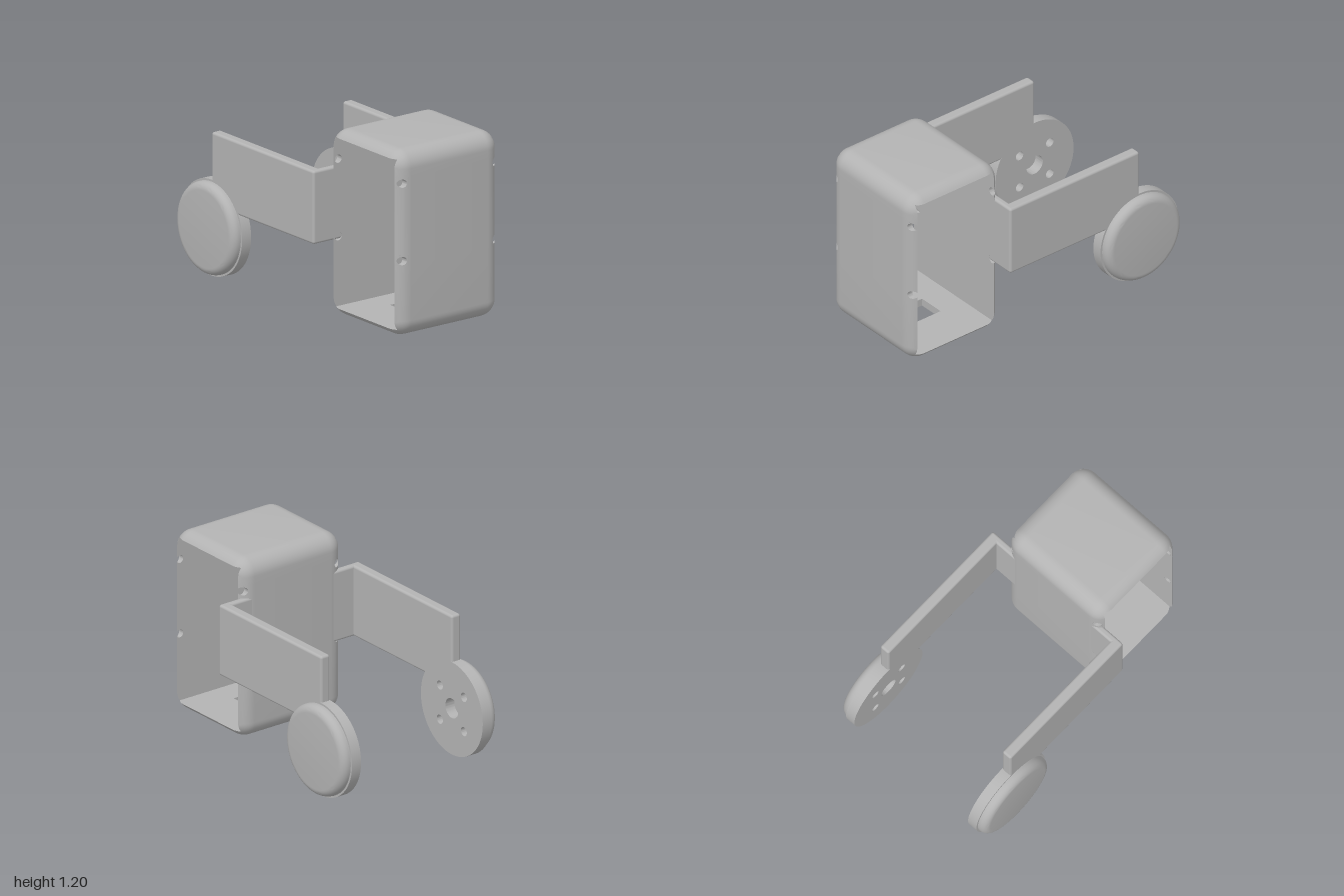
import * as THREE from 'three';
import { toCreasedNormals } from 'three/addons/utils/BufferGeometryUtils.js';
import { RoundedBoxGeometry } from 'three/addons/geometries/RoundedBoxGeometry.js';

// Housing dimensions: half sizes, fillet radius, wall thickness, rim position
const CX = 0.645, CY = 0.6, HX = 0.355, HY = 0.6;
const R = 0.11, W = 0.05, RIM = 0.39;
const ZC = RIM - Math.sqrt(R * R - (R - W) * (R - W)); // where the fillet starts
const clamp = THREE.MathUtils.clamp;

// Depth of the filleted outer skin below the flat wall plane
const skinDepth = (z) => {
  const e = Math.max(0, Math.abs(z) - ZC);
  return R - Math.sqrt(R * R - e * e);
};

// Open-ended hollow rounded box with drilled side walls and a floor slot
function housingGeometry() {
  const pos = [];
  const centre = new THREE.Vector3(CX, CY, 0);
  const V = (p) => new THREE.Vector3(...p);

  // Triangle facing away from ref (sign 1) or towards it (sign -1)
  const tri = (a, b, c, ref, sign) => {
    const n = b.clone().sub(a).cross(c.clone().sub(a));
    if (n.length() < 1e-9) return;
    const flip = n.dot(a.clone().add(b).add(c).divideScalar(3).sub(ref)) * sign < 0;
    for (const p of flip ? [a, c, b] : [a, b, c]) pos.push(p.x, p.y, p.z);
  };
  const sheet = (rows, ref, sign) => {
    for (let i = 0; i + 1 < rows.length; i++) {
      for (let j = 0; j + 1 < rows[i].length; j++) {
        const a = V(rows[i][j]), b = V(rows[i][j + 1]);
        const c = V(rows[i + 1][j + 1]), d = V(rows[i + 1][j]);
        tri(a, b, c, ref, sign);
        tri(a, c, d, ref, sign);
      }
    }
  };

  // Samples from rim to rim: rear fillet, flat, front fillet
  const M = 8;
  const angles = (max) => Array.from({ length: M + 1 }, (_, i) => (i / M) * max);
  const zSamples = (max) => {
    const front = angles(max).map((t) => [ZC + R * Math.sin(t), Math.cos(t)]);
    return [...front.map(([z, c]) => [-z, c]).reverse(), ...front];
  };
  const wallZ = zSamples(Math.acos((R - W) / R)).map(([z]) => z);

  // Wall maps: (position along the wall, z, inner skin?) to a point
  const sideWall = (s) => (a, z, inner) => [CX + s * (HX - (inner ? W : skinDepth(z))), a, z];
  const flatWall = (s) => (a, z, inner) => [a, CY + s * (HY - (inner ? W : skinDepth(z))), z];

  const strip = (map, a0, a1, z0 = -RIM, z1 = RIM) => {
    const zs = wallZ.map((z) => clamp(z, z0, z1));
    for (const inner of [false, true]) {
      sheet([a0, a1].map((a) => zs.map((z) => map(a, z, inner))), centre, inner ? -1 : 1);
    }
  };

  // Square patch of wall with a round hole drilled through it
  const half = 0.035, holeR = 0.027;
  const drilled = (map, a0, z0) => {
    const at = (k, t, inner) => {
      const c = Math.cos((k * Math.PI) / 16), s = Math.sin((k * Math.PI) / 16);
      const rho = holeR + (half / Math.max(Math.abs(c), Math.abs(s)) - holeR) * t;
      return map(a0 + rho * s, clamp(z0 + rho * c, -RIM, RIM), inner);
    };
    const ks = Array.from({ length: 33 }, (_, k) => k);
    for (const inner of [false, true]) {
      sheet([0, 0.5, 1].map((t) => ks.map((k) => at(k, t, inner))), centre, inner ? -1 : 1);
    }
    sheet([false, true].map((inner) => ks.map((k) => at(k, 0, inner))), V(map(a0, z0, true)), -1);
  };

  // Side walls with four holes each
  for (const s of [-1, 1]) {
    const map = sideWall(s);
    let y = R;
    for (const h of [0.5, 1.0]) {
      strip(map, y, h - half);
      strip(map, h - half, h + half, -0.37 + half, 0.355 - half);
      drilled(map, h, 0.355);
      drilled(map, h, -0.37);
      y = h + half;
    }
    strip(map, y, 2 * HY - R);
  }

  // Roof, and floor with a rectangular slot
  const x0 = CX - HX + R, x1 = CX + HX - R, sx = 0.125, sz = 0.09;
  strip(flatWall(1), x0, x1);
  const floor = flatWall(-1);
  strip(floor, x0, CX - sx);
  strip(floor, CX + sx, x1);
  strip(floor, CX - sx, CX + sx, -RIM, -sz);
  strip(floor, CX - sx, CX + sx, sz, RIM);
  const slot = [[-sx, -sz], [sx, -sz], [sx, sz], [-sx, sz], [-sx, -sz]];
  sheet([false, true].map((inner) => slot.map(([x, z]) => floor(CX + x, z, inner))),
    new THREE.Vector3(CX, W / 2, 0), -1);

  // Four rounded long edges, trimmed by the square opening
  for (const qx of [-1, 1]) for (const qy of [-1, 1]) {
    const outer = [], inner = [];
    for (let k = 0; k <= 12; k++) {
      const f = (k / 12) * Math.PI / 2;
      const nx = Math.cos(f), ny = Math.sin(f);
      const max = Math.acos((R - W) / (R * Math.max(nx, ny)));
      const col = zSamples(max).map(([z, c]) => [
        CX + qx * (HX - R + R * c * nx), CY + qy * (HY - R + R * c * ny), z]);
      outer.push(col);
      inner.push([col[0], col[col.length - 1]]);
    }
    sheet(outer, centre, 1);
    sheet(inner, centre, -1);
  }

  const g = new THREE.BufferGeometry();
  g.setAttribute('position', new THREE.Float32BufferAttribute(pos, 3));
  return toCreasedNormals(g, 0.5);
}

// Round mounting plate with a hub hole and four screw holes
function discGeometry() {
  const shape = new THREE.Shape().absarc(0, 0, 0.31, 0, Math.PI * 2);
  const hole = (x, y, r) => shape.holes.push(new THREE.Path().absarc(x, y, r, 0, Math.PI * 2, true));
  hole(0, 0, 0.065);
  for (const x of [-0.12, 0.12]) for (const y of [-0.115, 0.115]) hole(x, y, 0.03);
  const g = new THREE.ExtrudeGeometry(shape, { depth: 0.07, bevelEnabled: false, curveSegments: 32 });
  return toCreasedNormals(g, 0.5);
}

// Wheel cap with a rounded outer edge, built along +y
function capGeometry() {
  const r = 0.297, b = 0.05, h = 0.06;
  const pts = [new THREE.Vector2(0, 0), new THREE.Vector2(r, 0)];
  for (let i = 0; i <= 8; i++) {
    const t = (i / 8) * Math.PI / 2;
    pts.push(new THREE.Vector2(r - b + b * Math.cos(t), h - b + b * Math.sin(t)));
  }
  pts.push(new THREE.Vector2(0, h));
  return toCreasedNormals(new THREE.LatheGeometry(pts, 64), 0.5);
}

export function createModel() {
  const model = new THREE.Group();
  const grey = new THREE.MeshStandardMaterial({ color: 0xb3b3b3 });
  grey.name = 'plainGrey';
  const add = (name, geometry, x = 0, y = 0, z = 0) => {
    const m = new THREE.Mesh(geometry, grey);
    m.name = name;
    m.position.set(x, y, z);
    model.add(m);
    return m;
  };
  const block = (x0, x1, y0, y1, z0, z1) =>
    new RoundedBoxGeometry(x1 - x0, y1 - y0, z1 - z0, 4, 0.016)
      .translate((x0 + x1) / 2, (y0 + y1) / 2, (z0 + z1) / 2);

  add('housing', housingGeometry());

  const disc = discGeometry(), cap = capGeometry();
  for (const s of [1, -1]) {
    const side = s > 0 ? 'left' : 'right';
    const span = (a, b) => (s > 0 ? [a, b] : [-b, -a]);
    add(side + 'Arm', block(-0.69, 0.337, 0.48, 0.953, ...span(0.475, 0.545)));
    add(side + 'ArmBracket', block(0.292, 0.337, 0.48, 0.953, ...span(0.3, 0.545)));
    add(side + 'WheelPlate', disc, -0.69, 0.335, span(0.475, 0.545)[0]);
    add(side + 'WheelCap', cap, -0.69, 0.335, s * 0.545).rotation.x = s * Math.PI / 2;
  }
  return model;
}
